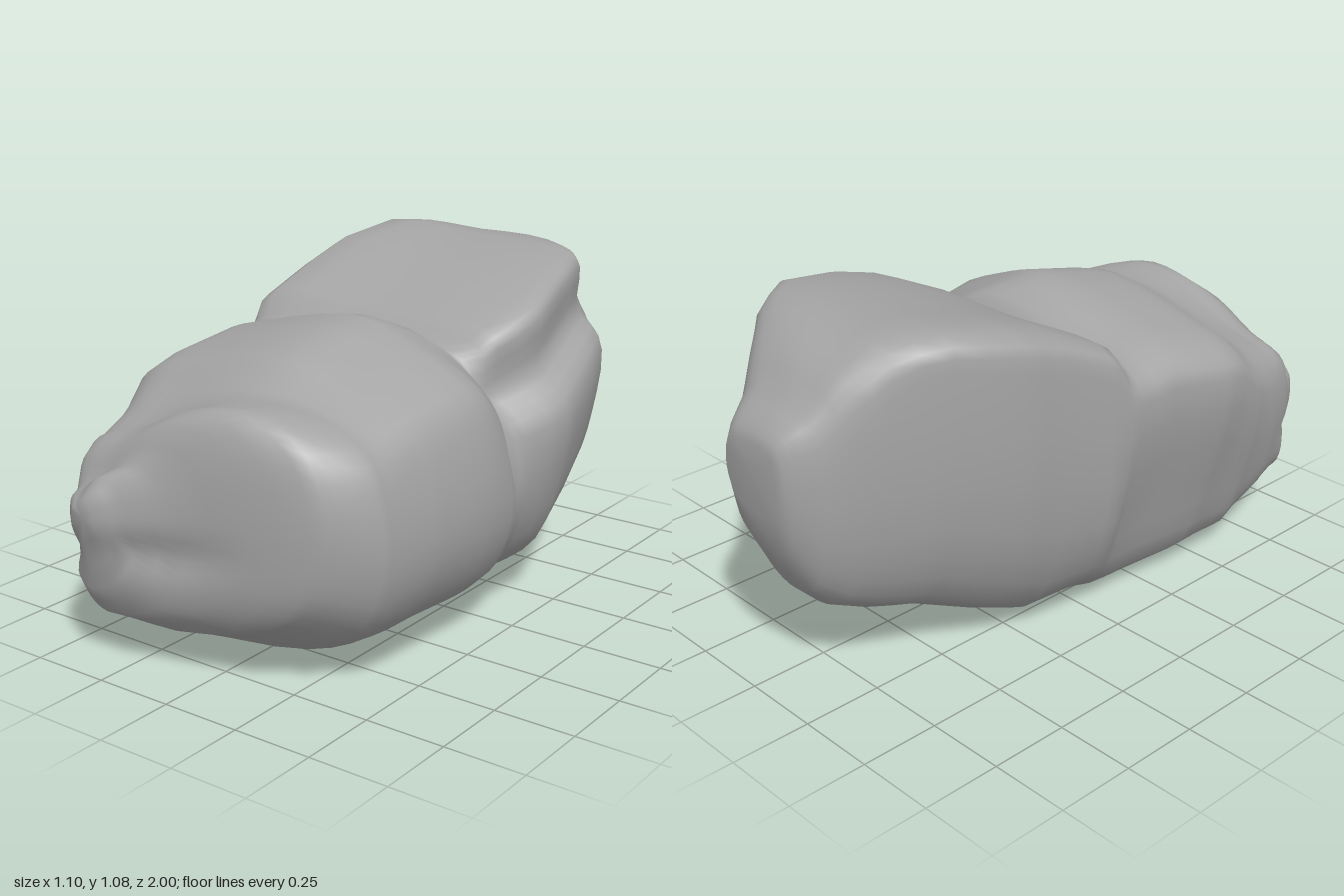
import * as THREE from 'three';

// Cross-section outlines inside a unit box, counterclockwise from the underside
const FRONT = [.28, 0, .73, .1, .94, .26, 1, .45, 1, .68, .93, .87, .75, .99, .52, .97, .25, .83, .05, .75, 0, .6, .02, .27, .09, .08];
const MIDDLE = [.36, 0, .73, .05, .92, .18, 1, .4, .97, .7, .91, .83, .7, .95, .54, 1, .22, .93, .08, .88, 0, .79, .07, .34, .17, .04];
const BACK = [.38, 0, .7, .06, .9, .2, .98, .42, 1, .67, .9, .77, .9, .93, .85, .97, .4, .99, .03, .99, 0, .86, .02, .35, .15, .08];
const TAIL = [.42, 0, .68, .04, .89, .16, .99, .4, 1, .62, .96, .82, .85, .95, .58, .99, .27, .99, .07, .93, 0, .68, .04, .3, .17, .08];

// Where each outline applies along z
const KEYS = [[-.9, TAIL], [-.65, BACK], [-.02, BACK], [.08, MIDDLE], [.5, MIDDLE], [.78, FRONT], [1, FRONT]];

// Extents along z: z, xMin, xMax, yMin, yMax
const EXTENTS = [
  [-1, -.17, .05, .6, .81], [-.97, -.21, .08, .47, .86], [-.9, -.26, .13, .33, .92], [-.82, -.3, .22, .25, 1.01],
  [-.72, -.34, .34, .2, 1.06], [-.57, -.41, .46, .16, 1.075], [-.37, -.465, .515, .07, 1.04], [-.21, -.475, .545, 0, .99],
  [-.05, -.495, .53, .01, .92], [.02, -.505, .53, .01, .9], [.06, -.51, .53, .01, .92], [.2, -.52, .535, .01, .95],
  [.4, -.55, .52, .02, .91], [.5, -.54, .51, .02, .885], [.6, -.52, .5, .02, .84], [.66, -.5, .49, .05, .83],
  [.75, -.475, .42, .09, .82], [.81, -.455, .35, .11, .815], [.86, -.44, .18, .14, .76], [.9, -.42, -.03, .16, .64],
  [.95, -.39, -.17, .25, .6], [1, -.33, -.25, .4, .54]
];

const AROUND = 44;

function bracket(table, z) {
  let i = 0;
  while (i < table.length - 2 && z > table[i + 1][0]) i++;
  const t = THREE.MathUtils.clamp((z - table[i][0]) / (table[i + 1][0] - table[i][0]), 0, 1);
  return [table[i], table[i + 1], t];
}

function resample(flat) {
  const points = [];
  for (let i = 0; i < flat.length; i += 2) points.push(new THREE.Vector3(flat[i], flat[i + 1], 0));
  const curve = new THREE.CatmullRomCurve3(points, true, 'centripetal');
  return Array.from({ length: AROUND }, (_, j) => curve.getPoint(j / AROUND));
}

const bump = (d, width) => Math.exp(-((d / width) ** 2));

// Cleft and side scoop behind the front lobe, shoulder hollow, crease above the lip
function weather(p) {
  const { x, y, z } = p;
  const { smoothstep } = THREE.MathUtils;
  const rightward = smoothstep(x, -.5, .45);
  p.y -= bump(z - .02, .04) * smoothstep(y, .6, .9) * (.01 + .04 * rightward);
  const scoop = bump(z - .02, z > .02 ? .035 : .11);
  p.x -= .06 * scoop * smoothstep(y, .35, .65) * smoothstep(x, .25, .5);
  p.y -= .02 * bump(x - .15, .2) * bump(z - .62, .09) * smoothstep(y, .6, .8);
  const crease = bump(y - .35 - .12 * (x + .4), .05) * (1 - smoothstep(x, -.15, .2));
  p.z -= .03 * crease * smoothstep(z, .75, .9);
  p.y = Math.max(0, p.y);
  return p;
}

function boulderGeometry() {
  const outlines = new Map([FRONT, MIDDLE, BACK, TAIL].map(o => [o, resample(o)]));
  const rows = [];
  EXTENTS.forEach((e, i) => {
    rows.push(e[0]);
    if (i < EXTENTS.length - 1) rows.push((e[0] + EXTENTS[i + 1][0]) / 2);
  });

  const positions = [], indices = [];
  for (const z of rows) {
    const [ea, eb, et] = bracket(EXTENTS, z);
    const [, x0, x1, y0, y1] = ea.map((v, k) => THREE.MathUtils.lerp(v, eb[k], et));
    const [ka, kb, kt] = bracket(KEYS, z);
    const from = outlines.get(ka[1]), to = outlines.get(kb[1]);
    for (let j = 0; j < AROUND; j++) {
      const p = from[j].clone().lerp(to[j], kt);
      p.set(x0 + p.x * (x1 - x0), y0 + p.y * (y1 - y0), z);
      positions.push(...weather(p).toArray());
    }
  }

  // Skin between neighbouring sections
  for (let i = 0; i < rows.length - 1; i++) {
    for (let j = 0; j < AROUND; j++) {
      const n = (j + 1) % AROUND;
      const a = i * AROUND + j, b = i * AROUND + n, c = b + AROUND, d = a + AROUND;
      indices.push(a, b, c, a, c, d);
    }
  }

  // Closing caps at both ends
  const last = (rows.length - 1) * AROUND, backTip = rows.length * AROUND, frontTip = backTip + 1;
  positions.push(-.06, .72, -1, -.29, .48, 1);
  for (let j = 0; j < AROUND; j++) {
    const n = (j + 1) % AROUND;
    indices.push(n, j, backTip, last + j, last + n, frontTip);
  }

  const geometry = new THREE.BufferGeometry();
  geometry.setAttribute('position', new THREE.Float32BufferAttribute(positions, 3));
  geometry.setIndex(indices);
  geometry.computeVertexNormals();
  return geometry;
}

export function createModel() {
  const group = new THREE.Group();
  group.name = 'rock';
  const stone = new THREE.MeshStandardMaterial({ color: 0xa4a4a4 });
  stone.name = 'stone grey';
  const boulder = new THREE.Mesh(boulderGeometry(), stone);
  boulder.name = 'boulder';
  group.add(boulder);
  return group;
}
